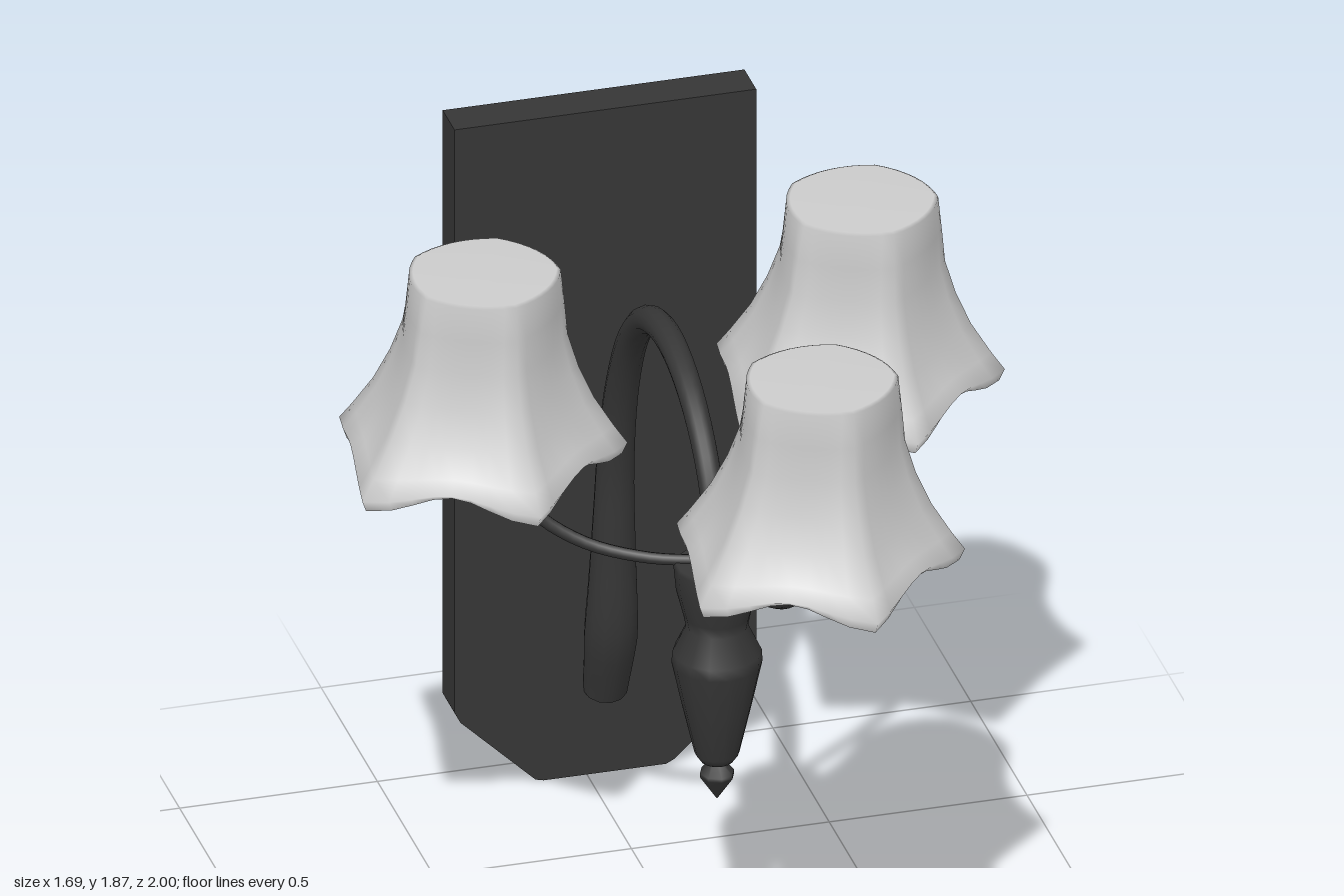
import * as THREE from 'three';
import { mergeVertices } from 'three/addons/utils/BufferGeometryUtils.js';

const metal = new THREE.MeshStandardMaterial({ color: 0x363636 });
const cloth = new THREE.MeshStandardMaterial({ color: 0xcccccc, side: THREE.DoubleSide });
const HUB = { x: 0.047, z: 0.095 };
const v3 = (x, y, z) => new THREE.Vector3(x, y, z);

function add(parent, name, geometry, material) {
  const mesh = new THREE.Mesh(geometry, material);
  mesh.name = name;
  parent.add(mesh);
  return mesh;
}

// Tube whose radius follows a list of radii along the path, closed at both ends
function taperedTube(points, radii, steps, sides) {
  const curve = new THREE.CatmullRomCurve3(points);
  const geo = new THREE.TubeGeometry(curve, steps, 1, sides);
  const pos = geo.attributes.position;
  const p = v3(0, 0, 0);
  for (let i = 0; i <= steps; i++) {
    const t = i / steps;
    const f = t * (radii.length - 1);
    const k = Math.min(Math.floor(f), radii.length - 2);
    const r = THREE.MathUtils.lerp(radii[k], radii[k + 1], f - k);
    const c = curve.getPointAt(t);
    for (let j = 0; j <= sides; j++) {
      const n = i * (sides + 1) + j;
      p.fromBufferAttribute(pos, n).sub(c).multiplyScalar(r).add(c);
      pos.setXYZ(n, p.x, p.y, p.z);
    }
  }
  geo.deleteAttribute('uv');
  geo.deleteAttribute('normal');
  const merged = mergeVertices(geo, 1e-5);
  merged.computeVertexNormals();
  return merged;
}

// Flared five-sided shade: rows of [radius, height, pentagon share, rim wave]
function shadeGeometry() {
  const rows = [
    [0.362, 1.365, 1, 1], [0.375, 1.385, 1, 0.65], [0.34, 1.425, 1, 0.3],
    [0.287, 1.5, 0.95, 0], [0.245, 1.59, 0.85, 0], [0.215, 1.68, 0.7, 0],
    [0.203, 1.77, 0.5, 0], [0.19, 1.86, 0.25, 0], [0.18, 1.865, 0.25, 0], [0, 1.865, 0, 0],
  ];
  const segs = 40;
  const geo = new THREE.LatheGeometry(rows.map(r => new THREE.Vector2(r[0], r[1])), segs,
    THREE.MathUtils.degToRad(90 - 8.5));
  const pos = geo.attributes.position;
  for (let n = 0; n < pos.count; n++) {
    const [, y, share, wave] = rows[n % rows.length];
    const seg = Math.floor(n / rows.length) % segs;
    const fromMid = ((seg % 8) / 8 - 0.5) * (Math.PI * 2 / 5);
    const poly = Math.cos(Math.PI / 5) / Math.cos(fromMid);
    const s = THREE.MathUtils.lerp(1, poly, share);
    const lean = 0.02 * (1.865 - y) / 0.5;
    const droop = 0.028 * wave * Math.cos((seg / 8) * Math.PI * 2);
    pos.setXYZ(n, pos.getX(n) * s - lean, y - droop, pos.getZ(n) * s - lean * 0.6);
  }
  geo.deleteAttribute('uv');
  geo.deleteAttribute('normal');
  const merged = mergeVertices(geo, 1e-5);
  merged.computeVertexNormals();
  return merged;
}

export function createModel() {
  const model = new THREE.Group();
  model.name = 'wallLamp';

  // Wall plate with cut lower corners
  const outline = [[-0.335, 1.83], [-0.335, 0.22], [-0.32, 0.19], [-0.13, 0.005], [-0.11, 0],
    [0.2, 0], [0.22, 0.01], [0.415, 0.19], [0.428, 0.22], [0.428, 1.83]];
  const plate = new THREE.ExtrudeGeometry(
    new THREE.Shape(outline.map(p => new THREE.Vector2(...p))), { depth: 0.105, bevelEnabled: false });
  add(model, 'wallPlate', plate, metal).position.z = -1;

  // Arched main arm, thickening down to the plate
  const path = [[1.08, 0.095], [1.2, 0.075], [1.33, 0], [1.44, -0.14], [1.49, -0.32], [1.455, -0.5],
    [1.34, -0.64], [1.15, -0.745], [0.92, -0.805], [0.68, -0.825], [0.43, -0.845], [0.23, -0.9]];
  add(model, 'mainArm', taperedTube(path.map(([y, z]) => v3(HUB.x, y, z)),
    [0.03, 0.03, 0.032, 0.034, 0.036, 0.038, 0.041, 0.045, 0.05, 0.058, 0.068, 0.055], 48, 12), metal);

  // Turned hub with waist, then the small pointed finial
  const lathe = (name, profile, sides) => add(model, name,
    new THREE.LatheGeometry(profile.map(p => new THREE.Vector2(...p)), sides), metal)
    .position.set(HUB.x, 0, HUB.z);
  lathe('hub', [[0, 0.545], [0.04, 0.548], [0.055, 0.57], [0.085, 0.7], [0.111, 0.82], [0.109, 0.85],
    [0.076, 0.92], [0.082, 0.95], [0.1, 1.02], [0.106, 1.085], [0.1, 1.093], [0, 1.093]], 14);
  lathe('finial', [[0, 0.44], [0.043, 0.505], [0.043, 0.515], [0.015, 0.55]], 8);

  // Three thin arms, each carrying a shade
  const shade = shadeGeometry();
  const bend = [[0, 1.098], [0.3, 1.098], [0.58, 1.135], [0.8, 1.22], [0.93, 1.36], [0.99, 1.5], [1, 1.62]];
  const spots = { left: [0.5, -0.22], right: [-0.485, -0.11], front: [0.155, 0.638] };
  for (const [side, [x, z]] of Object.entries(spots)) {
    const lamp = new THREE.Group();
    lamp.name = side + 'Lamp';
    const points = bend.map(([t, y]) =>
      v3(THREE.MathUtils.lerp(HUB.x, x, t), y, THREE.MathUtils.lerp(HUB.z, z, t)));
    add(lamp, side + 'Arm', taperedTube(points, [0.014, 0.016, 0.018, 0.018], 28, 8), metal);
    add(lamp, side + 'Shade', shade, cloth).position.set(x, 0, z);
    model.add(lamp);
  }
  return model;
}
